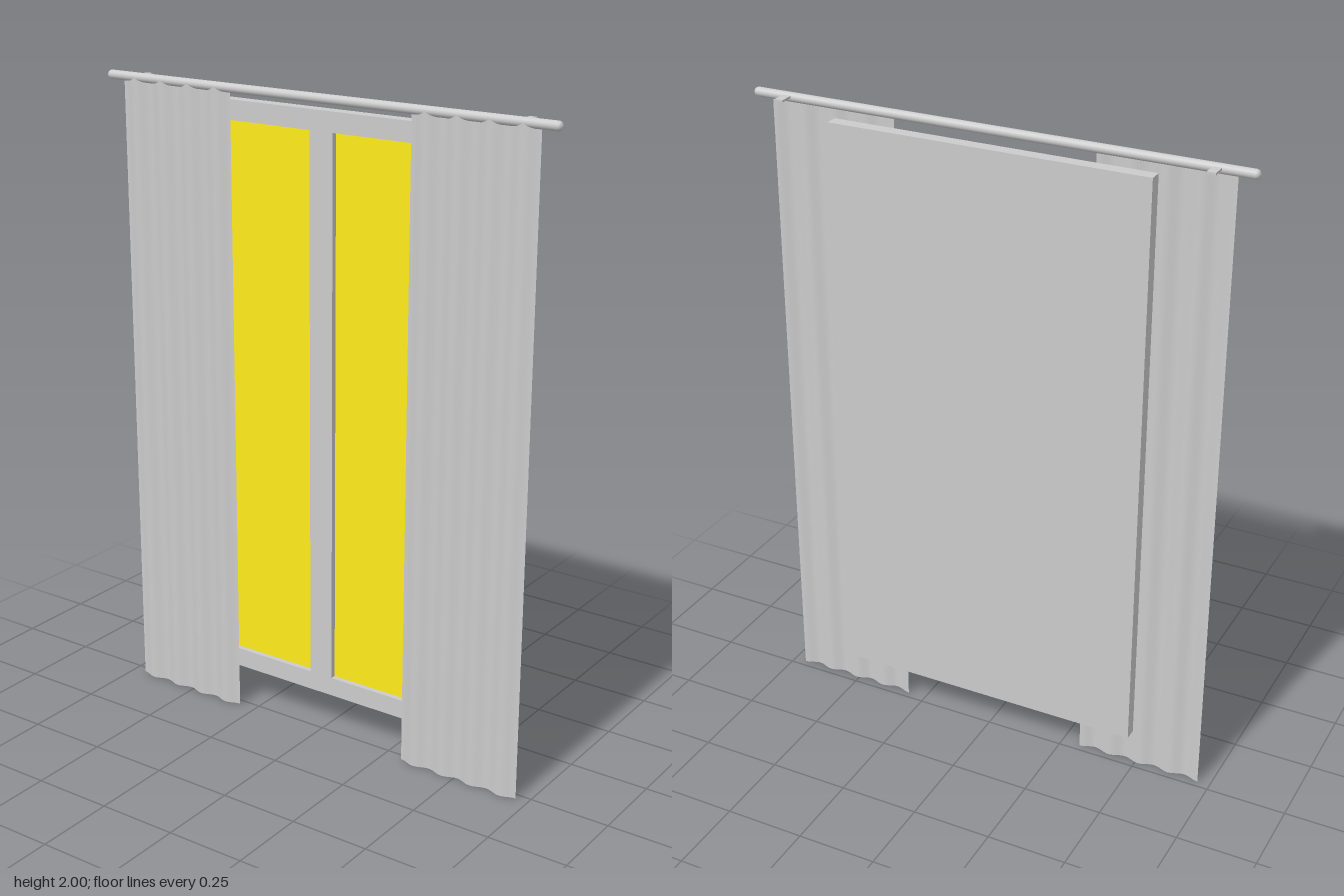
import * as THREE from 'three';

const grey = new THREE.MeshStandardMaterial({ color: 0xcccccc });
const greyThin = new THREE.MeshStandardMaterial({ color: 0xcccccc, side: THREE.DoubleSide });
const yellow = new THREE.MeshStandardMaterial({ color: 0xffeb1a });

const HALF_W = 0.495, BOTTOM = 0.13, TOP = 1.95, RAIL = 0.06, MULLION = 0.04;
const ROD_X = -0.022, ROD_Y = 1.986, ROD_R = 0.014;

function add(parent, name, geometry, material, x = 0, y = 0, z = 0) {
  const mesh = new THREE.Mesh(geometry, material);
  mesh.name = name;
  mesh.position.set(x, y, z);
  parent.add(mesh);
  return mesh;
}

function rectangle(path, x0, y0, x1, y1) {
  path.moveTo(x0, y0);
  path.lineTo(x1, y0);
  path.lineTo(x1, y1);
  path.lineTo(x0, y1);
  path.closePath();
  return path;
}

// Wavy sheet hanging in the y-z plane, with folds running vertically
function curtainGeometry(width, height, folds) {
  const geometry = new THREE.PlaneGeometry(width, height, folds * 12, 1);
  geometry.rotateY(-Math.PI / 2);
  const p = geometry.attributes.position;
  for (let i = 0; i < p.count; i++) {
    p.setX(i, 0.007 * Math.cos((p.getZ(i) / width + 0.5) * folds * Math.PI * 2));
  }
  geometry.computeVertexNormals();
  return geometry;
}

export function createModel() {
  const model = new THREE.Group();
  model.name = 'curtainedWindow';

  // Window: recessed frame with two panes on the -x side, solid backing on +x
  const windowGroup = new THREE.Group();
  windowGroup.name = 'window';
  model.add(windowGroup);

  const outline = rectangle(new THREE.Shape(), -HALF_W, BOTTOM, HALF_W, TOP);
  const paneW = HALF_W - RAIL - MULLION;
  const paneH = TOP - BOTTOM - 2 * RAIL;
  const paneY = (TOP + BOTTOM) / 2;
  for (const side of [-1, 1]) {
    const z = side * (MULLION + paneW / 2);
    outline.holes.push(rectangle(new THREE.Path(),
      z - paneW / 2, paneY - paneH / 2, z + paneW / 2, paneY + paneH / 2));
    const pane = new THREE.BoxGeometry(0.004, paneH, paneW);
    add(windowGroup, side > 0 ? 'frontPane' : 'rearPane', pane, yellow, 0.012, paneY, z);
  }
  const frame = new THREE.ExtrudeGeometry(outline, { depth: 0.02, bevelEnabled: false });
  frame.rotateY(-Math.PI / 2);
  add(windowGroup, 'windowFrame', frame, grey, 0.013);
  add(windowGroup, 'windowBacking',
    new THREE.BoxGeometry(0.02, TOP - BOTTOM, HALF_W * 2), grey, 0.023, paneY);

  // Rod with softly rounded ends
  const rod = new THREE.LatheGeometry([
    [0, -0.77], [0.008, -0.768], [0.012, -0.764], [ROD_R, -0.758],
    [ROD_R, 0.758], [0.012, 0.764], [0.008, 0.768], [0, 0.77],
  ].map(([r, y]) => new THREE.Vector2(r, y)), 20);
  rod.rotateX(Math.PI / 2);
  add(model, 'curtainRod', rod, grey, ROD_X, ROD_Y);

  // Curtains and the flat brackets holding the rod
  for (const side of [-1, 1]) {
    const end = side > 0 ? 'front' : 'rear';
    add(model, end + 'Curtain', curtainGeometry(0.4, 1.985, 4), greyThin,
      -0.029, 1.985 / 2, side * 0.51);
    add(model, end + 'Bracket', new THREE.BoxGeometry(0.05, 0.007, 0.026), grey,
      0.008, 1.989, side * 0.655);
  }
  return model;
}
